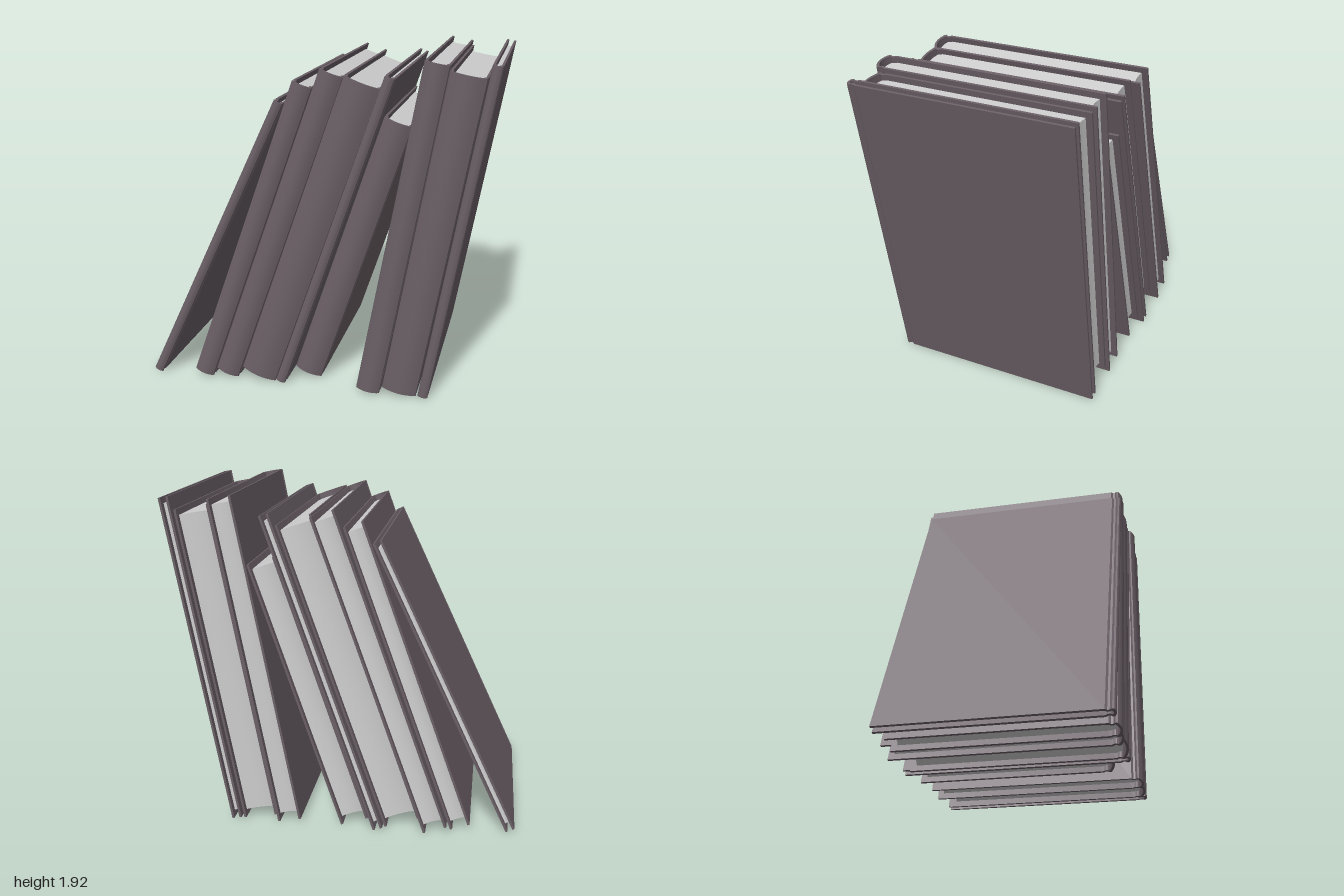
import * as THREE from 'three';
import { toCreasedNormals } from 'three/addons/utils/BufferGeometryUtils.js';

const coverMat = new THREE.MeshStandardMaterial({ color: 0x6a5f66 });
const pageMat = new THREE.MeshStandardMaterial({ color: 0xcccccc });
const BOARD = 0.013;
const INSET = 0.035;

// Extrude a closed [x, z] outline upwards from y0 by height
function extrudeUp(points, y0, height) {
  const shape = new THREE.Shape(points.map(([x, z]) => new THREE.Vector2(x, -z)));
  const geo = new THREE.ExtrudeGeometry(shape, { depth: height, bevelEnabled: false });
  geo.rotateX(-Math.PI / 2).translate(0, y0, 0);
  return toCreasedNormals(geo, 0.5);
}

// Points of a shallow bow from xa to xb, bulging by rise in z
function bow(xa, xb, z, rise, steps = 10) {
  return Array.from({ length: steps + 1 }, (_, i) => {
    const u = i / steps;
    return [xa + (xb - xa) * u, z + rise * 4 * u * (1 - u)];
  });
}

// One hardback: boards, hinge grooves and rounded spine, plus the page block
function makeBook({ x, y, lean, t, h, front, back }) {
  const book = new THREE.Group();
  book.name = 'book';
  const rise = Math.min(0.028, t * 0.16);
  const zs = front - rise; // where the spine curve begins
  const groove = Math.min(0.008, t * 0.14);
  const hinge = [[0, zs - 0.045], [groove, zs - 0.034], [groove, zs - 0.022], [0, zs - 0.01]];
  const mirror = ([px, pz]) => [t - px, pz];
  const inner = [[BOARD, zs - 0.05], [BOARD + groove, zs - 0.034], [BOARD + groove, zs - 0.022]];

  const outline = [
    [0, back], ...hinge,
    ...bow(0.003, t - 0.003, zs, rise),
    ...hinge.map(mirror).reverse(), [t, back],
    [t - BOARD, back], ...inner.map(mirror),
    ...bow(t - BOARD - 0.002, BOARD + 0.002, zs - BOARD, rise),
    ...inner.slice().reverse(), [BOARD, back],
  ];
  const cover = new THREE.Mesh(extrudeUp(outline, 0, h), coverMat);
  cover.name = 'cover';

  // Rounded at the spine, slightly hollow at the fore edge
  const a = BOARD - 0.001, b = t - a;
  const block = [
    ...bow(a, b, zs - 0.03, rise),
    ...bow(b, a, back + INSET, Math.min(0.014, t * 0.08)),
  ];
  const pages = new THREE.Mesh(extrudeUp(block, INSET, h - 2 * INSET), pageMat);
  pages.name = 'pages';

  book.add(cover, pages);
  book.position.set(x, y, 0);
  book.rotation.z = -THREE.MathUtils.degToRad(lean);
  return book;
}

export function createModel() {
  const model = new THREE.Group();
  model.name = 'leaningBooks';
  // x, y: lower left corner; lean in degrees; t: thickness; h: height
  const books = [
    { x: -1.0, y: 0.024, lean: 25.2, t: 0.055, h: 1.835, front: 0.65, back: -0.57 },
    { x: -0.743, y: 0.042, lean: 19.6, t: 0.118, h: 1.855, front: 0.645, back: -0.59 },
    { x: -0.612, y: 0.052, lean: 19.5, t: 0.14, h: 1.915, front: 0.635, back: -0.66 },
    { x: -0.452, y: 0.072, lean: 19.2, t: 0.212, h: 1.855, front: 0.635, back: -0.61 },
    { x: -0.243, y: 0.02, lean: 19.05, t: 0.057, h: 1.915, front: 0.63, back: -0.66 },
    { x: -0.155, y: 0.06, lean: 18.6, t: 0.165, h: 1.615, front: 0.525, back: -0.63 },
    { x: 0.24, y: 0.03, lean: 10.5, t: 0.137, h: 1.92, front: 0.65, back: -0.64 },
    { x: 0.388, y: 0.04, lean: 10.3, t: 0.2, h: 1.855, front: 0.64, back: -0.62 },
    { x: 0.597, y: 0.015, lean: 10.2, t: 0.057, h: 1.92, front: 0.635, back: -0.64 },
  ];
  books.forEach((spec, i) => {
    const book = makeBook(spec);
    book.name = `book${i + 1}`;
    model.add(book);
  });
  return model;
}
